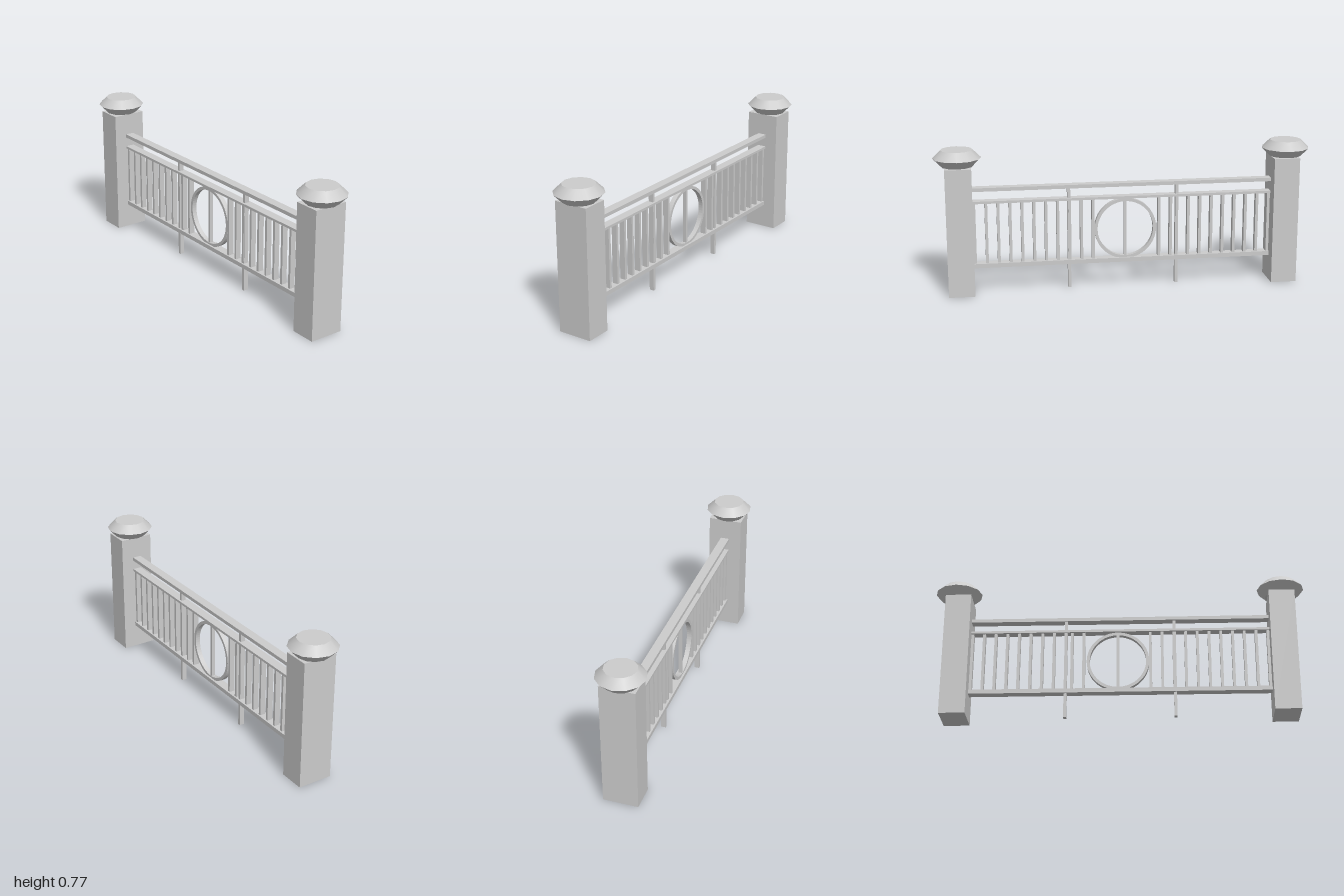
import * as THREE from 'three';

const material = new THREE.MeshStandardMaterial({ color: 0xcccccc });

export function createModel() {
  const model = new THREE.Group();
  model.name = 'fenceSection';

  const add = (name, geometry, x, y, z) => {
    const mesh = new THREE.Mesh(geometry, material);
    mesh.name = name;
    mesh.position.set(x, y, z);
    model.add(mesh);
    return mesh;
  };
  // Box given by its width in x, y range and z range
  const bar = (name, width, y0, y1, z0, z1) =>
    add(name, new THREE.BoxGeometry(width, y1 - y0, z1 - z0), 0, (y0 + y1) / 2, (z0 + z1) / 2);
  const upright = (name, width, thick, y0, y1, z) =>
    bar(name, width, y0, y1, z - thick / 2, z + thick / 2);

  // Pillars with faceted double-cone caps
  for (const [name, z, capZ] of [['front', 0.873, 0.875], ['back', -0.863, -0.873]]) {
    upright(name + 'Pillar', 0.185, 0.138, 0, 0.686, z);
    add(name + 'CapLower', new THREE.CylinderGeometry(0.126, 0.084, 0.043, 12), 0, 0.7085, capZ);
    add(name + 'CapUpper', new THREE.CylinderGeometry(0.083, 0.126, 0.043, 12), 0, 0.7515, capZ);
  }

  // Horizontal rails
  bar('handRail', 0.048, 0.55, 0.569, -0.797, 0.806);
  bar('upperRail', 0.048, 0.484, 0.497, -0.797, 0.806);
  bar('lowerRail', 0.048, 0.134, 0.157, -0.797, 0.806);

  // Supports running from the ground to the hand rail
  for (const z of [0.297, -0.283]) upright('support', 0.026, 0.016, 0, 0.555, z);

  // Balusters on both sides of the ring
  const step = 0.0628;
  const balusters = [-0.25, -0.187];
  for (let i = 0; i < 11; i++) balusters.push(0.796 - i * step);
  for (let i = 0; i < 8; i++) balusters.push(-0.786 + i * step);
  for (const z of balusters) upright('baluster', 0.03, 0.015, 0.15, 0.49, z);

  // Central ring and its vertical bar
  const ring = new THREE.Shape().absarc(0, 0, 0.166, 0, Math.PI * 2);
  ring.holes.push(new THREE.Path().absarc(0, 0, 0.15, 0, Math.PI * 2, true));
  const ringGeometry = new THREE.ExtrudeGeometry(ring, { depth: 0.026, bevelEnabled: false, curveSegments: 32 });
  ringGeometry.translate(0, 0, -0.013).rotateY(Math.PI / 2);
  add('ring', ringGeometry, 0, 0.317, -0.005);
  upright('ringBar', 0.02, 0.014, 0.155, 0.48, -0.005);

  return model;
}
